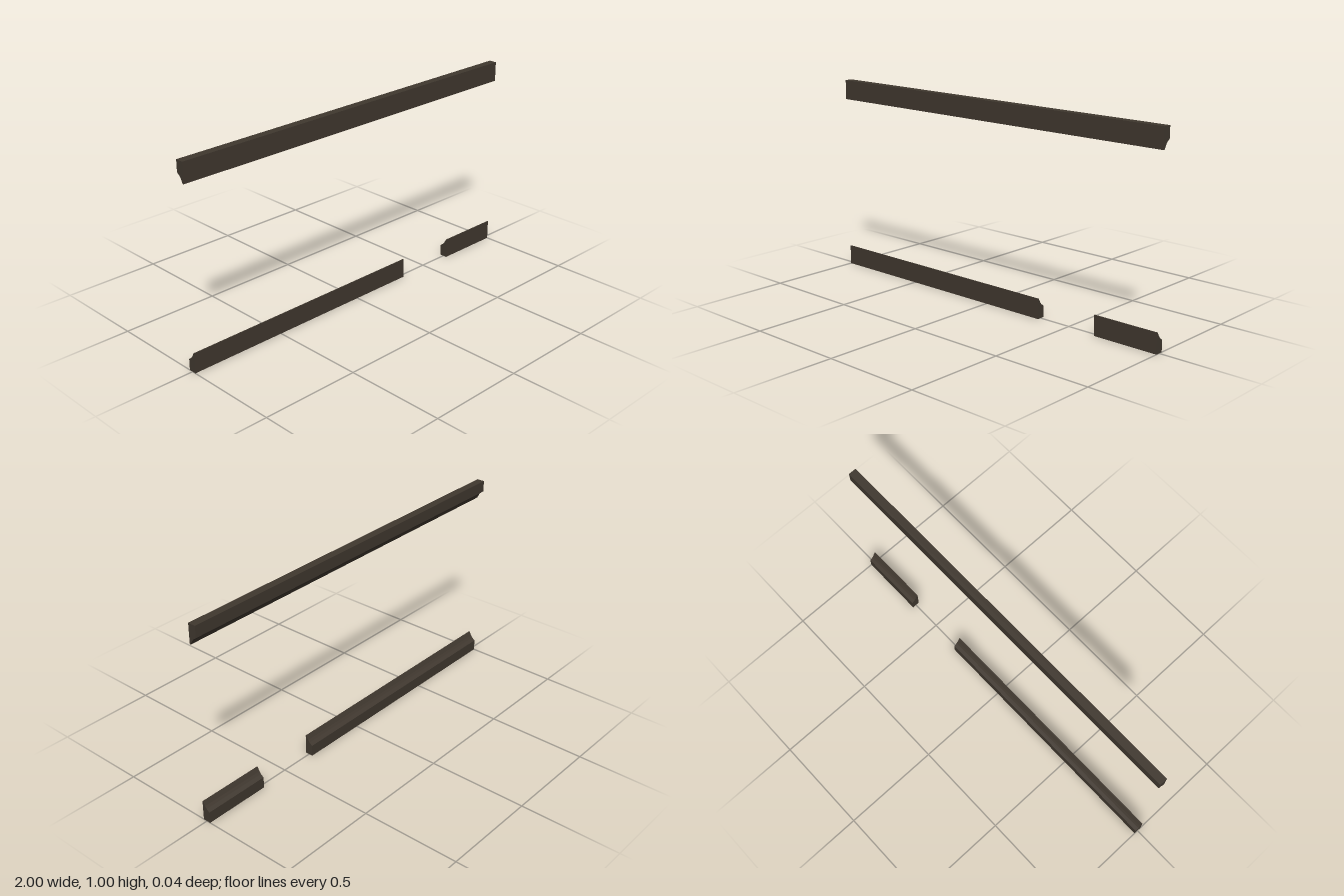
import * as THREE from 'three';

// Moulding cross-section as [depth towards the back, height]
const PROFILE = [
  [-0.02, 0], [0.02, 0], [0.02, 0.057], [0.004, 0.069],
  [-0.005, 0.08], [-0.011, 0.092], [-0.015, 0.1], [-0.02, 0.1],
];

export function createModel() {
  const group = new THREE.Group();
  const darkWood = new THREE.MeshStandardMaterial({ color: 0x40382f });
  darkWood.name = 'darkWood';

  // Extrudes the profile from x0 to x1; top trim is turned upside down
  function addTrim(name, x0, x1, upsideDown) {
    const points = PROFILE.map(([d, y]) => new THREE.Vector2(d, upsideDown ? 1 - y : y));
    const geometry = new THREE.ExtrudeGeometry(new THREE.Shape(points), {
      depth: x1 - x0, bevelEnabled: false,
    });
    geometry.rotateY(Math.PI / 2);
    geometry.translate(x0, 0, 0);
    const mesh = new THREE.Mesh(geometry, darkWood);
    mesh.name = name;
    group.add(mesh);
  }

  addTrim('ceilingTrim', -1, 1, true);
  // Skirting leaves a gap for the doorway
  addTrim('longSkirting', -1, 0.33, false);
  addTrim('shortSkirting', 0.66, 1, false);

  return group;
}
